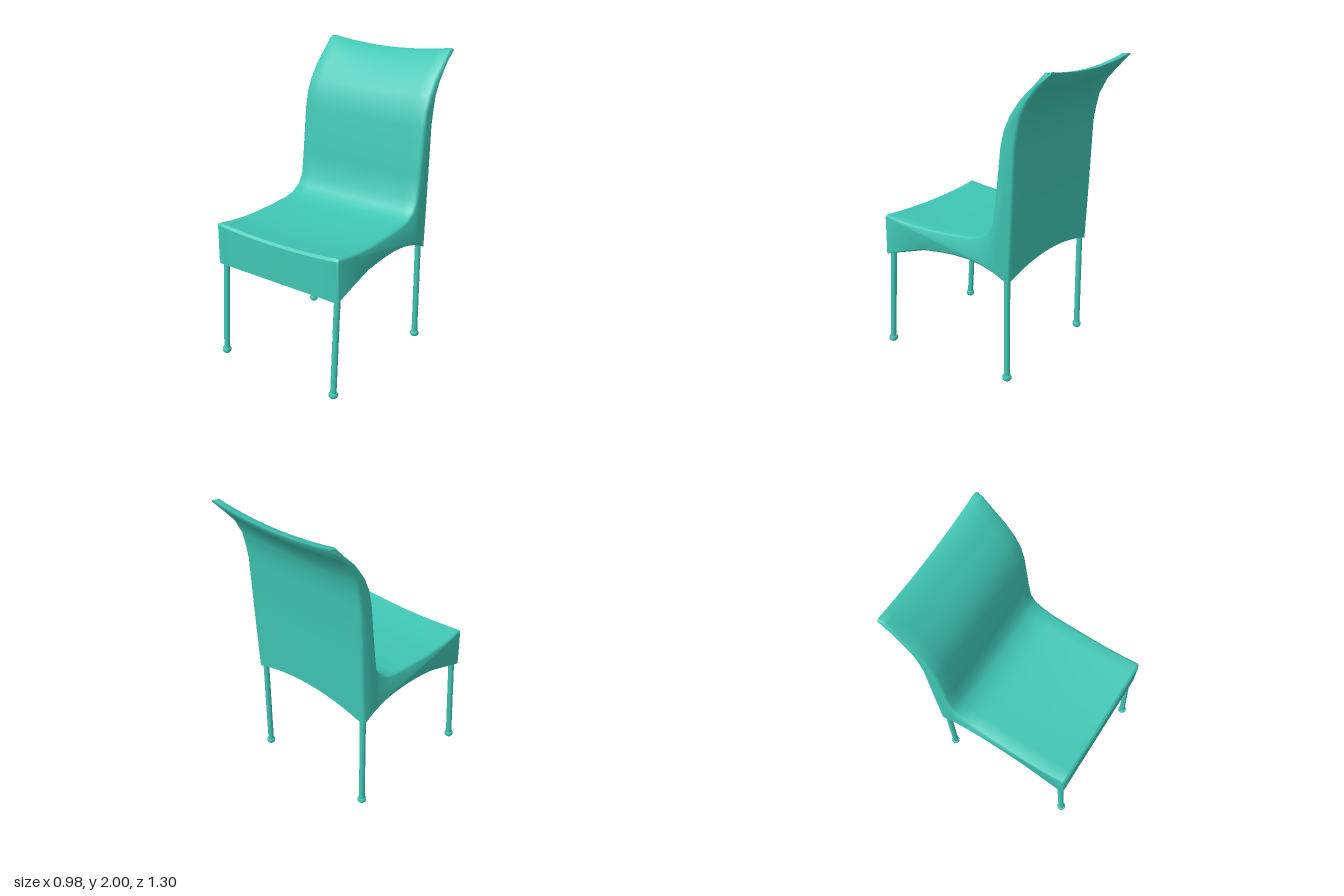
import * as THREE from 'three';
import { toCreasedNormals } from 'three/addons/utils/BufferGeometryUtils.js';

const material = new THREE.MeshStandardMaterial({ color: 0x3fc6b4 });
const HALF = 0.49;

// Side outline of the shell: [z, y, height change at the middle of the width]
const PROFILE = [
  // front panel and seat
  [0.62, 0.66, 0], [0.62, 0.93, -0.025], [0.605, 0.945, -0.025], [0.5, 0.928, -0.022],
  [0.38, 0.916, -0.02], [0.27, 0.913, -0.018], [0.13, 0.917, -0.015], [0, 0.924, -0.012],
  [-0.07, 0.929, -0.01], [-0.14, 0.945, -0.008], [-0.21, 0.985, -0.004], [-0.25, 1.05, 0],
  // front of the backrest
  [-0.27, 1.2, 0], [-0.305, 1.53, 0], [-0.33, 1.64, -0.005], [-0.37, 1.73, -0.01],
  [-0.44, 1.83, -0.02], [-0.52, 1.91, -0.03], [-0.6, 1.995, -0.04], [-0.648, 2, -0.04],
  // rear of the backrest
  [-0.645, 1.985, -0.04], [-0.57, 1.905, -0.03], [-0.5, 1.825, -0.02], [-0.445, 1.72, -0.01],
  [-0.425, 1.63, -0.005], [-0.408, 1.53, 0], [-0.39, 1.1, 0], [-0.37, 0.685, 0.075],
  // arched underside
  [-0.25, 0.73, 0.043], [-0.15, 0.76, 0.016], [-0.06, 0.773, 0.004], [0.04, 0.777, 0],
  [0.15, 0.772, 0], [0.3, 0.755, 0], [0.45, 0.71, 0],
];

// Loft the outline across the width, shrinking it at both ends for rounded rims
function shellGeometry() {
  const n = PROFILE.length;
  const rim = [[0.49, 0.016], [0.485, 0.006], [0.472, 0]];
  const columns = rim.map(([x, inset]) => [-x, inset]);
  for (let i = 1; i < 12; i++) columns.push([-0.472 + (0.944 * i) / 12, 0]);
  columns.push(...rim.slice().reverse());

  const positions = [], index = [];
  columns.forEach(([x, inset]) => {
    const u = 1 - (x / HALF) ** 2;
    PROFILE.forEach(([z, y, dy], j) => {
      const a = PROFILE[(j + n - 1) % n], b = PROFILE[(j + 1) % n];
      const inward = new THREE.Vector2(a[1] - b[1], b[0] - a[0]).normalize();
      positions.push(x, y + dy * u + inward.y * inset, z + inward.x * inset);
    });
  });
  for (let c = 0; c < columns.length - 1; c++) {
    for (let j = 0; j < n; j++) {
      const a = c * n + j, d = c * n + (j + 1) % n;
      index.push(a, a + n, d, d, a + n, d + n);
    }
  }

  // Side caps
  const end = (columns.length - 1) * n;
  const outline = PROFILE.map(([z, y]) => new THREE.Vector2(z, y));
  for (const [a, b, c] of THREE.ShapeUtils.triangulateShape(outline, [])) {
    index.push(a, b, c, end + a, end + c, end + b);
  }
  const geometry = new THREE.BufferGeometry();
  geometry.setAttribute('position', new THREE.Float32BufferAttribute(positions, 3));
  geometry.setIndex(index);
  return toCreasedNormals(geometry, 0.75);
}

// Straight tube leg with a rounded foot
function makeLeg(name, x, top, bottomZ) {
  const leg = new THREE.Group();
  leg.name = name;
  const from = new THREE.Vector3(x, 0.02, bottomZ);
  const to = new THREE.Vector3(x, top.y, top.z);
  const axis = to.clone().sub(from);

  const tube = new THREE.Mesh(new THREE.CylinderGeometry(0.02, 0.02, axis.length(), 12), material);
  tube.name = 'legTube';
  tube.position.copy(from).add(to).multiplyScalar(0.5);
  tube.quaternion.setFromUnitVectors(new THREE.Vector3(0, 1, 0), axis.normalize());

  const footProfile = [[0, 0.002], [0.02, 0.002], [0.029, 0.012], [0.03, 0.03], [0.026, 0.038], [0, 0.04]]
    .map(([r, y]) => new THREE.Vector2(r, y));
  const foot = new THREE.Mesh(toCreasedNormals(new THREE.LatheGeometry(footProfile, 12), 0.8), material);
  foot.name = 'foot';
  foot.position.set(x, -0.002, bottomZ);
  leg.add(tube, foot);
  return leg;
}

export function createModel() {
  const chair = new THREE.Group();
  chair.name = 'chair';

  const shell = new THREE.Mesh(shellGeometry(), material);
  shell.name = 'seatAndBackrest';
  chair.add(shell);

  for (const [side, x] of [['Left', 0.455], ['Right', -0.455]]) {
    chair.add(makeLeg(`front${side}Leg`, x, { y: 0.71, z: 0.578 }, 0.622));
    chair.add(makeLeg(`rear${side}Leg`, x, { y: 0.74, z: -0.34 }, -0.34));
  }
  return chair;
}
